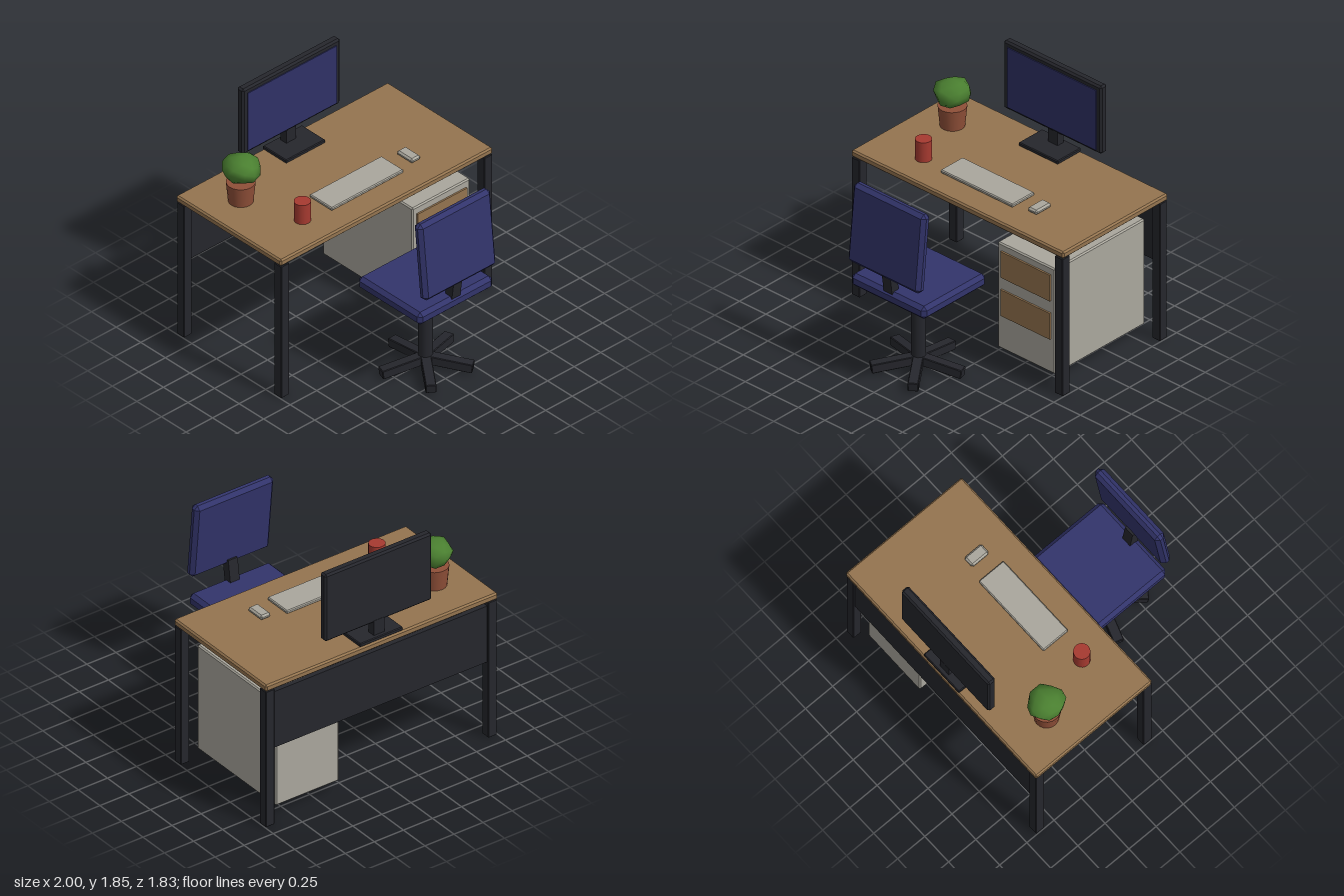
import * as THREE from 'three';
import { ConvexGeometry } from 'three/addons/geometries/ConvexGeometry.js';
import { mergeVertices } from 'three/addons/utils/BufferGeometryUtils.js';

const mat = (color) => new THREE.MeshStandardMaterial({ color });
const wood = mat(0x94744f);
const dark = mat(0x25262c);
const fabric = mat(0x32346b);
const putty = mat(0xaaa79d);
const screenBlue = mat(0x2f3166);
const terracotta = mat(0x8f4f38);
const red = mat(0xa63a30);
const green = mat(0x4a7f30);

// Box with every edge cut by a chamfer of size c
function chamferBox(w, h, d, c) {
  const points = [];
  for (const sx of [-1, 1]) for (const sy of [-1, 1]) for (const sz of [-1, 1]) {
    const x = w / 2, y = h / 2, z = d / 2;
    points.push(
      new THREE.Vector3(sx * x, sy * (y - c), sz * (z - c)),
      new THREE.Vector3(sx * (x - c), sy * y, sz * (z - c)),
      new THREE.Vector3(sx * (x - c), sy * (y - c), sz * z));
  }
  return new ConvexGeometry(points);
}

function add(parent, name, geometry, material, x, y, z) {
  const mesh = new THREE.Mesh(geometry, material);
  mesh.name = name;
  mesh.position.set(x, y, z);
  parent.add(mesh);
  return mesh;
}

// Box given by its limits on each axis
function block(parent, name, material, [x0, x1], [y0, y1], [z0, z1], c = 0) {
  const size = [x1 - x0, y1 - y0, z1 - z0];
  const geometry = c ? chamferBox(...size, c) : new THREE.BoxGeometry(...size);
  return add(parent, name, geometry, material, (x0 + x1) / 2, (y0 + y1) / 2, (z0 + z1) / 2);
}

function group(parent, name) {
  const g = new THREE.Group();
  g.name = name;
  parent.add(g);
  return g;
}

function buildDesk(root) {
  const desk = group(root, 'desk');
  block(desk, 'desktop', wood, [-1, 1], [1.115, 1.17], [-0.915, 0.155], 0.012);
  for (const sx of [-1, 1]) for (const z of [-0.872, 0.117])
    add(desk, 'deskLeg', chamferBox(0.075, 1.115, 0.075, 0.005), dark, sx * 0.957, 0.5575, z);
  block(desk, 'modestyPanel', dark, [-0.925, 0.925], [0.62, 1.08], [-0.895, -0.86]);

  const cabinet = group(desk, 'drawerCabinet');
  block(cabinet, 'cabinetBody', putty, [0.31, 0.855], [0.085, 0.94], [-0.835, 0.08], 0.01);
  for (const y of [0.36, 0.67])
    block(cabinet, 'drawerFront', wood, [0.35, 0.815], [y, y + 0.212], [0.07, 0.093]);
}

function buildMonitor(root) {
  const monitor = group(root, 'monitor');
  block(monitor, 'monitorBase', dark, [-0.185, 0.185], [1.17, 1.2], [-0.91, -0.67], 0.006);
  block(monitor, 'monitorNeck', dark, [-0.045, 0.045], [1.19, 1.32], [-0.88, -0.82]);
  block(monitor, 'monitorCase', dark, [-0.46, 0.46], [1.3, 1.85], [-0.878, -0.812], 0.014);
  block(monitor, 'monitorScreen', screenBlue, [-0.418, 0.418], [1.325, 1.81], [-0.82, -0.805]);
}

function buildDeskItems(root) {
  const items = group(root, 'deskItems');
  block(items, 'keyboard', putty, [-0.34, 0.34], [1.17, 1.197], [-0.268, -0.04], 0.007);
  block(items, 'mouse', putty, [0.447, 0.535], [1.17, 1.208], [-0.232, -0.075], 0.013);
  add(items, 'mug', new THREE.CylinderGeometry(0.06, 0.06, 0.16, 20), red, -0.556, 1.25, -0.105);

  const plant = group(items, 'pottedPlant');
  add(plant, 'plantPot', new THREE.CylinderGeometry(0.104, 0.089, 0.16, 20), terracotta, -0.71, 1.25, -0.565);

  // Lumpy foliage ball: a coarse sphere with each corner pushed in or out
  const raw = new THREE.IcosahedronGeometry(1, 1);
  raw.deleteAttribute('normal');
  raw.deleteAttribute('uv');
  const ball = mergeVertices(raw, 1e-3);
  const p = ball.attributes.position;
  for (let i = 0; i < p.count; i++) {
    const k = 0.97 + 0.09 * Math.sin(i * 2.4 + 1);
    p.setXYZ(i, p.getX(i) * k * 0.138, p.getY(i) * k * 0.103, p.getZ(i) * k * 0.141);
  }
  ball.computeVertexNormals();
  add(plant, 'foliage', ball, green, -0.708, 1.44, -0.565);
}

function buildChair(root) {
  const chair = group(root, 'chair');
  block(chair, 'seat', fabric, [-0.35, 0.35], [0.66, 0.763], [0.225, 0.868], 0.028);

  const back = add(chair, 'backrest', chamferBox(0.68, 0.615, 0.082, 0.028), fabric, 0, 1.19, 0.848);
  back.rotation.x = -0.1;
  const post = add(chair, 'backPost', new THREE.BoxGeometry(0.08, 0.25, 0.068), dark, 0, 0.805, 0.832);
  post.rotation.x = 0.14;

  add(chair, 'column', new THREE.CylinderGeometry(0.053, 0.053, 0.6, 10), dark, 0, 0.36, 0.545);

  // Five sloping feet, one pointing towards the desk
  for (let i = 0; i < 5; i++) {
    const arm = group(chair, 'footArm');
    arm.position.z = 0.545;
    arm.rotation.y = (i * Math.PI * 2) / 5;
    const foot = add(arm, 'foot', chamferBox(0.075, 0.07, 0.34, 0.005), dark, 0, 0.06, -0.17);
    foot.rotation.x = -0.11;
  }
}

export function createModel() {
  const root = new THREE.Group();
  root.name = 'workstation';
  buildDesk(root);
  buildMonitor(root);
  buildDeskItems(root);
  buildChair(root);
  return root;
}
